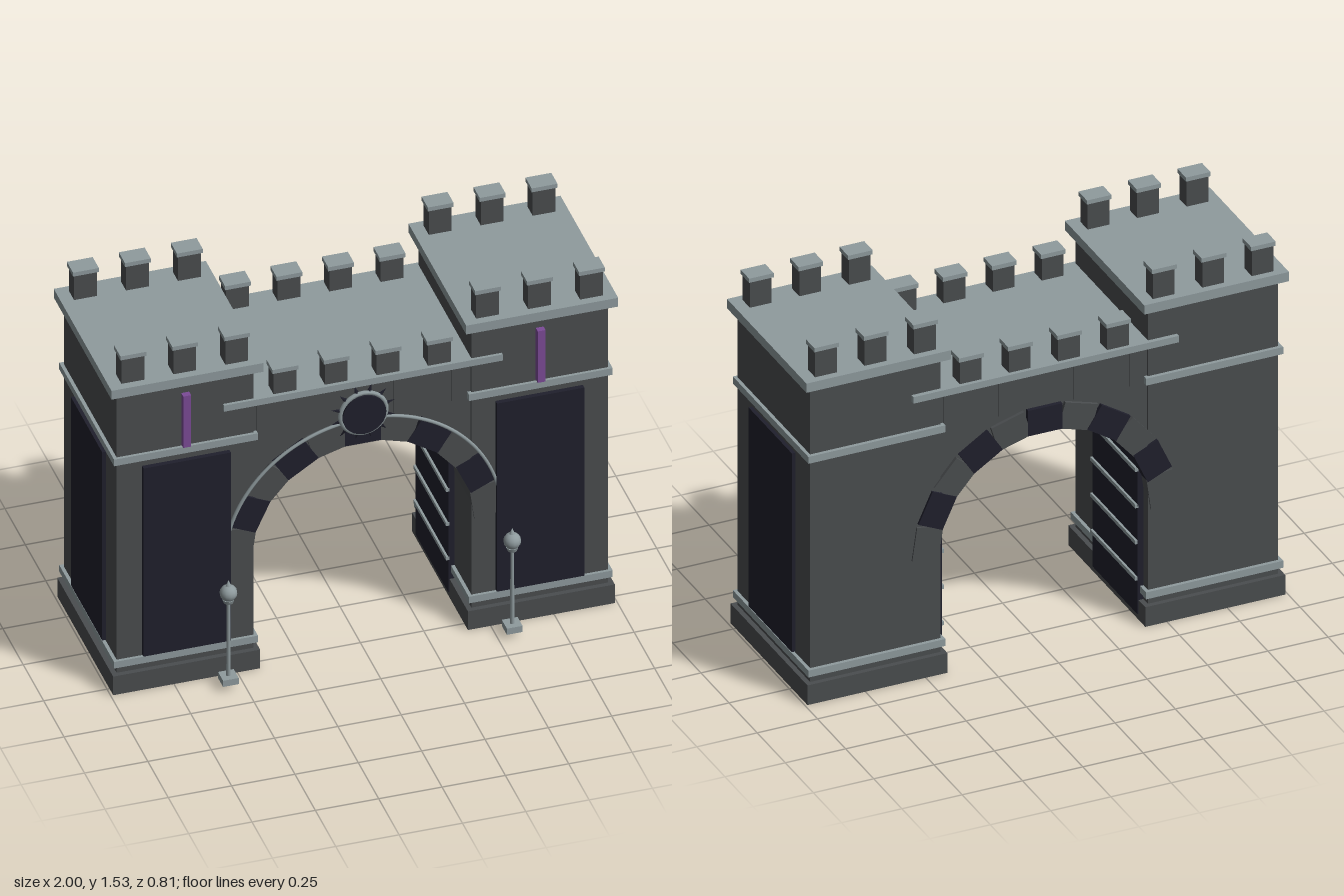
import * as THREE from 'three';

const material = (name, color) => {
  const m = new THREE.MeshStandardMaterial({ color });
  m.name = name;
  return m;
};

export function createModel() {
  const stone = material('stone', 0x4a4d4f);
  const trim = material('pale trim', 0x8f9b9e);
  const dark = material('dark panel', 0x20202c);
  const purple = material('purple banner', 0x7c4b97);
  const model = new THREE.Group();
  model.name = 'gatehouse';

  const add = (parent, name, geometry, mat, x = 0, y = 0, z = 0) => {
    const mesh = new THREE.Mesh(geometry, mat);
    mesh.name = name;
    mesh.position.set(x, y, z);
    parent.add(mesh);
    return mesh;
  };
  // Box given by its limits on each axis
  const block = (parent, name, mat, [x0, x1], [y0, y1], [z0, z1]) =>
    add(parent, name, new THREE.BoxGeometry(Math.abs(x1 - x0), y1 - y0, z1 - z0), mat,
      (x0 + x1) / 2, (y0 + y1) / 2, (z0 + z1) / 2);
  // Battlement block with a thin cap
  const merlon = (parent, x, y, z, height) => {
    block(parent, 'merlon', stone, [x - 0.045, x + 0.045], [y, y + height], [z - 0.032, z + 0.032]);
    block(parent, 'merlonCap', trim, [x - 0.051, x + 0.051], [y + height, y + height + 0.018], [z - 0.038, z + 0.038]);
  };
  const merlonRows = [0.24, -0.34];

  // Towers with panels, banners and lamps, mirrored left and right
  for (const s of [1, -1]) {
    const tower = new THREE.Group();
    tower.name = s > 0 ? 'leftTower' : 'rightTower';
    model.add(tower);
    const part = (name, mat, x, y, z) => block(tower, name, mat, [s * x[0], s * x[1]], y, z);
    part('plinth', stone, [0.41, 0.99], [0, 0.085], [-0.39, 0.295]);
    part('towerBody', stone, [0.43, 0.97], [0.085, 1.36], [-0.37, 0.275]);
    part('lowerBand', trim, [0.416, 0.984], [0.115, 0.145], [-0.385, 0.287]);
    part('upperBand', trim, [0.416, 0.984], [1.04, 1.07], [-0.385, 0.287]);
    part('towerCap', trim, [0.4, 1], [1.36, 1.4], [-0.402, 0.305]);
    part('frontPanel', dark, [0.525, 0.87], [0.15, 1.01], [0.27, 0.294]);
    part('sidePanel', dark, [0.96, 0.985], [0.15, 1.01], [-0.24, 0.145]);
    part('banner', purple, [0.684, 0.715], [1.075, 1.31], [0.274, 0.3]);

    // Ribbed panel inside the passage
    part('passagePanel', dark, [0.405, 0.435], [0.025, 0.72], [-0.33, 0.07]);
    for (const y of [0.18, 0.337, 0.493, 0.65])
      part('passageRib', trim, [0.396, 0.41], [y - 0.008, y + 0.008], [-0.33, 0.07]);

    for (const x of [0.495, 0.7, 0.905])
      for (const z of merlonRows) merlon(tower, s * x, 1.4, z, 0.112);

    // Lamp post
    const lamp = new THREE.Group();
    lamp.name = 'lampPost';
    lamp.position.set(s * 0.56, 0, 0.372);
    model.add(lamp);
    add(lamp, 'lampBase', new THREE.BoxGeometry(0.062, 0.028, 0.062), trim, 0, 0.038);
    add(lamp, 'lampPole', new THREE.CylinderGeometry(0.007, 0.009, 0.34, 8), trim, 0, 0.22);
    add(lamp, 'lampCollar', new THREE.CylinderGeometry(0.024, 0.018, 0.016, 8), trim, 0, 0.392);
    add(lamp, 'lampGlobe', new THREE.SphereGeometry(0.034, 12, 8), trim, 0, 0.428);
    add(lamp, 'lampFinial', new THREE.ConeGeometry(0.014, 0.034, 8), trim, 0, 0.469);
  }

  // Wall above the passage, with the arch cut from its underside
  const springY = 0.5;
  const wall = new THREE.Shape();
  wall.moveTo(0.5, springY);
  wall.lineTo(0.5, 1.2);
  wall.lineTo(-0.5, 1.2);
  wall.lineTo(-0.5, springY);
  wall.absarc(0, springY, 0.49, Math.PI, 0, true);
  add(model, 'archWall', new THREE.ExtrudeGeometry(wall, { depth: 0.63, bevelEnabled: false, curveSegments: 22 }),
    stone, 0, 0, -0.363);
  // Pilaster joints on the wall, front and back
  for (const x of [-0.385, -0.155, 0.155, 0.385])
    block(model, 'wallStrip', stone, [x - 0.03, x + 0.03], [1.04, 1.2], [-0.367, 0.271]);

  // Arch stones, alternating in colour
  const stones = 11;
  for (let i = 0; i < stones; i++) {
    const a = (i + 0.5) * Math.PI / stones;
    const v = add(model, 'archStone', new THREE.BoxGeometry(0.11, 0.142, i % 2 ? 0.664 : 0.658),
      i % 2 ? dark : stone, 0.49 * Math.cos(a), springY + 0.49 * Math.sin(a), -0.0475);
    v.rotation.z = a;
  }

  // Slim moulding around the front of the arch
  const arcPoints = [];
  for (let i = 0; i <= 32; i++) {
    const a = THREE.MathUtils.degToRad(10 + i * 5);
    arcPoints.push(new THREE.Vector3(0.547 * Math.cos(a), springY + 0.547 * Math.sin(a), 0.282));
  }
  add(model, 'archMoulding', new THREE.TubeGeometry(new THREE.CatmullRomCurve3(arcPoints), 64, 0.007, 6), trim);

  // Deck and battlements over the passage
  block(model, 'deck', trim, [-0.55, 0.55], [1.197, 1.225], [-0.388, 0.287]);
  for (const x of [-0.305, -0.102, 0.102, 0.305])
    for (const z of merlonRows) merlon(model, x, 1.225, z, 0.097);

  // Round medallion with a ring and radiating points
  const medallion = new THREE.Group();
  medallion.name = 'medallion';
  medallion.position.set(0, 1.075, 0.28);
  model.add(medallion);
  add(medallion, 'medallionDisc', new THREE.CylinderGeometry(0.086, 0.086, 0.036, 24), dark, 0, 0, 0.004)
    .rotation.x = Math.PI / 2;
  add(medallion, 'medallionRing', new THREE.TorusGeometry(0.09, 0.01, 6, 32), trim, 0, 0, 0.006);
  for (let i = 0; i < 12; i++) {
    const a = (i + 0.5) * Math.PI / 6;
    add(medallion, 'medallionPoint', new THREE.ConeGeometry(0.009, 0.034, 4), dark,
      0.113 * Math.cos(a), 0.113 * Math.sin(a), 0.002).rotation.z = a - Math.PI / 2;
  }
  return model;
}
